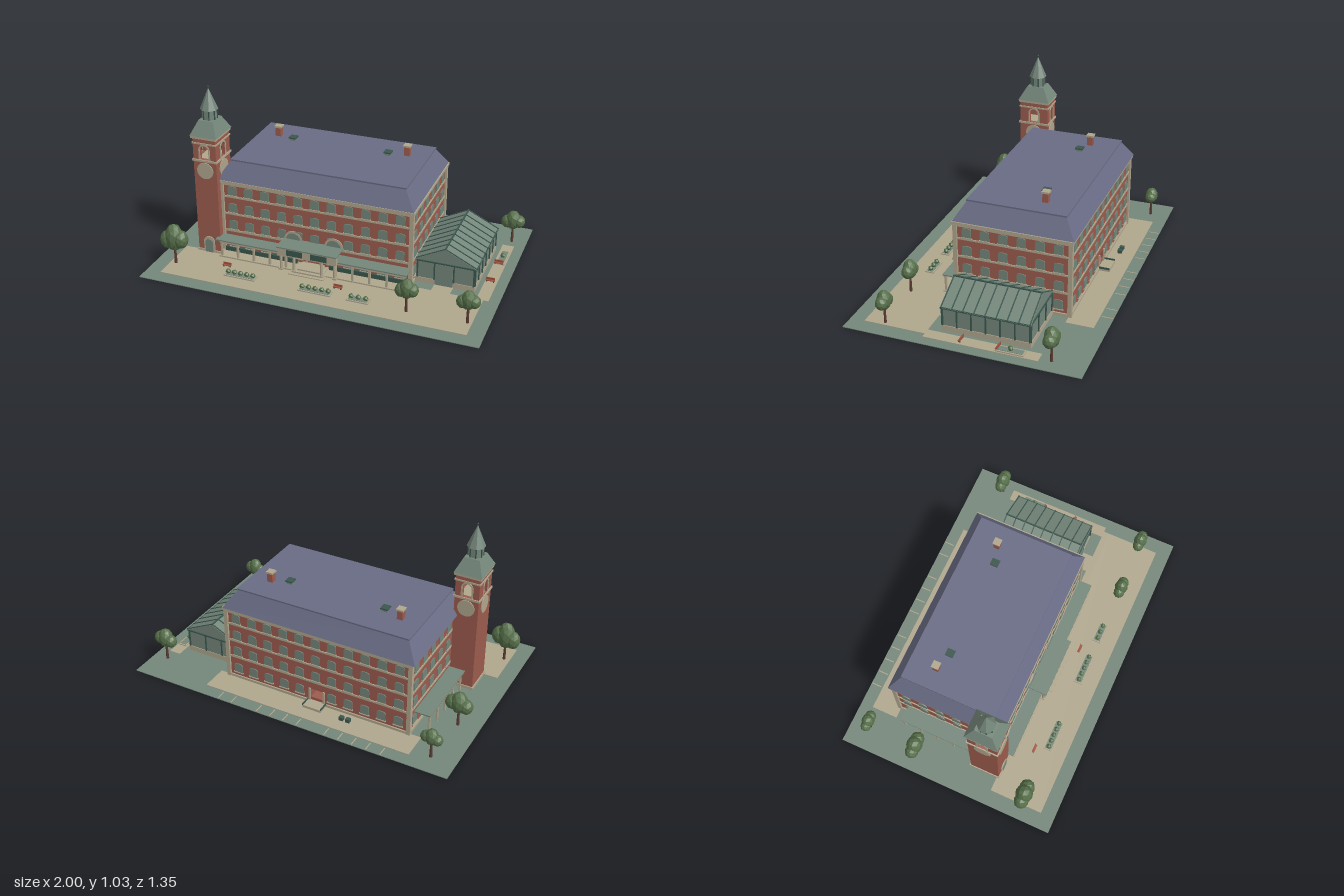
import * as THREE from 'three';

const mat = (name, color, extra = {}) => {
  const m = new THREE.MeshStandardMaterial({ color, ...extra });
  m.name = name;
  return m;
};

export function createModel() {
  const root = new THREE.Group();
  root.name = 'brickHall';
  const flat = { flatShading: true };
  const brick = mat('brick', 0x9c5b4d), stone = mat('stone', 0xb0a68d), slate = mat('slate', 0x686b84, flat);
  const sage = mat('sage', 0x74867a, flat), dark = mat('darkGreen', 0x3b564e), leaf = mat('leaf', 0x566f49, flat);
  const bark = mat('bark', 0x5b3b32), bench = mat('benchRed', 0xa0523f);

  const add = (name, geo, m, x = 0, y = 0, z = 0, parent = root) => {
    const mesh = new THREE.Mesh(geo, m);
    mesh.name = name;
    mesh.position.set(x, y, z);
    parent.add(mesh);
    return mesh;
  };
  // box given by its limits on each axis
  const box = (name, m, x0, x1, y0, y1, z0, z1, parent) =>
    add(name, new THREE.BoxGeometry(x1 - x0, y1 - y0, z1 - z0), m, (x0 + x1) / 2, (y0 + y1) / 2, (z0 + z1) / 2, parent);
  // box whose top is resized to w1 x d1
  const frustum = (w0, d0, w1, d1, h) => {
    const g = new THREE.BoxGeometry(w0, h, d0).toNonIndexed(), p = g.attributes.position;
    for (let i = 0; i < p.count; i++) {
      if (p.getY(i) > 0) p.setXYZ(i, p.getX(i) * w1 / w0, h / 2, p.getZ(i) * d1 / d0);
    }
    g.computeVertexNormals();
    return g.translate(0, h / 2, 0);
  };
  // opening with an elliptical head; base centred on the origin
  const archPath = (w, h, rise, Type = THREE.Shape, y = 0) => {
    const s = new Type();
    s.moveTo(-w / 2, y);
    s.lineTo(w / 2, y);
    s.lineTo(w / 2, y + h - rise);
    s.absellipse(0, y + h - rise, w / 2, rise, 0, Math.PI, false);
    s.lineTo(-w / 2, y);
    return s;
  };
  const extrude = (s, depth) => new THREE.ExtrudeGeometry(s, { depth, bevelEnabled: false, curveSegments: 10 });
  const group = (name, x, y, z, ry = 0) => {
    const g = new THREE.Group();
    g.name = name;
    g.position.set(x, y, z);
    g.rotation.y = ry;
    root.add(g);
    return g;
  };

  // ground and paving
  box('lawn', sage, -1, 1, 0, 0.004, -0.675, 0.675);
  [[-0.91, 0.91, 0.265, 0.59], [0.49, 0.91, 0.23, 0.266], [0.61, 0.72, 0.155, 0.231], [0.87, 0.94, -0.42, 0.23],
    [-0.745, 0.55, -0.6, -0.44]].forEach(([a, b, c, d]) => box('paving', stone, a, b, 0.003, 0.007, c, d));
  [-0.61, -0.523, -0.437, -0.352, -0.266, -0.09, -0.005, 0.08, 0.167, 0.337, 0.423].forEach(x =>
    box('parkingLine', stone, x - 0.003, x + 0.003, 0.003, 0.006, -0.67, -0.61));

  // main block, with a passage from front door to back door
  const X0 = -0.672, X1 = 0.487, Z0 = -0.445, Z1 = 0.225, CX = (X0 + X1) / 2, CZ = (Z0 + Z1) / 2;
  const body = new THREE.Shape([[X0, 0], [X1, 0], [X1, 0.47], [X0, 0.47]].map(p => new THREE.Vector2(...p)));
  body.holes.push(new THREE.Path([[-0.14, 0.04], [-0.14, 0.095], [-0.06, 0.095], [-0.06, 0.04]].map(p => new THREE.Vector2(...p))));
  add('mainWalls', extrude(body, Z1 - Z0), brick, 0, 0, Z0);
  [[0.144, 0.155, 0.006], [0.256, 0.266, 0.006], [0.368, 0.378, 0.006], [0.448, 0.464, 0.008], [0.464, 0.478, 0.018], [0, 0.022, 0.008]]
    .forEach(([y0, y1, o]) => box('stoneBand', stone, X0 - o, X1 + o, y0, y1, Z0 - o, Z1 + o));
  for (const x of [X0, X1]) for (const z of [Z0, Z1])
    box('cornerPier', stone, x - 0.012, x + 0.012, 0, 0.46, z - 0.012, z + 0.012);

  // windows
  const paneGeo = extrude(archPath(0.054, 0.058, 0.01), 0.005);
  const rows = [0.045, 0.162, 0.273, 0.384];
  const facade = (name, n, step, x, z, ry, skip) => {
    const g = group(name, x, 0, z, ry);
    rows.forEach((y, r) => {
      for (let i = 0; i < n; i++) {
        if (skip(r, i)) continue;
        const u = (i - (n - 1) / 2) * step;
        add('window', paneGeo, sage, u, y, 0, g);
        box('windowSill', stone, u - 0.031, u + 0.031, y - 0.005, y, 0, 0.009, g);
      }
    });
  };
  const mid = (r, i) => r === 0 && i === 5;
  facade('frontWindows', 11, 0.103, CX, Z1, 0, mid);
  facade('backWindows', 11, 0.103, CX, Z0, Math.PI, mid);
  facade('rightWindows', 6, 0.107, X1, CZ, Math.PI / 2, () => false);
  facade('leftWindows', 6, 0.107, X0, CZ, -Math.PI / 2, (r, i) => i === 5);

  // hipped roof with flat top
  add('mainRoof', frustum(1.2, 0.705, 1.06, 0.57, 0.108), slate, -0.1, 0.476, -0.112);
  box('roofTop', slate, -0.635, 0.435, 0.582, 0.591, -0.402, 0.178);
  for (const x of [-0.508, 0.307]) {
    box('chimney', brick, x - 0.017, x + 0.017, 0.585, 0.645, -0.257, -0.223);
    box('chimneyCap', stone, x - 0.022, x + 0.022, 0.645, 0.656, -0.262, -0.218);
  }
  for (const x of [-0.4, 0.2]) {
    box('vent', sage, x - 0.016, x + 0.016, 0.585, 0.604, -0.225, -0.188);
    box('ventCap', dark, x - 0.022, x + 0.022, 0.604, 0.612, -0.23, -0.183);
  }

  // front arcade
  box('arcadeFloor', stone, -0.67, 0.487, 0, 0.015, 0.225, 0.31);
  box('arcadeRoof', sage, -0.69, 0.49, 0.113, 0.12, 0.225, 0.312);
  box('arcadeBeam', stone, -0.665, 0.485, 0.1, 0.113, 0.29, 0.306);
  for (let i = 0; i < 12; i++) {
    const x = -0.655 + i * 0.1025;
    if (x > -0.18 && x < -0.02) continue;
    box('arcadePost', stone, x - 0.006, x + 0.006, 0.01, 0.105, 0.292, 0.304);
  }
  for (const [a, b] of [[-0.66, -0.2], [0, 0.48]]) box('arcadeHedge', dark, a, b, 0.015, 0.042, 0.226, 0.24);

  // central portico and steps
  box('porticoRoof', sage, -0.285, 0.085, 0.162, 0.169, 0.225, 0.345);
  box('porticoFrieze', stone, -0.28, 0.08, 0.112, 0.162, 0.315, 0.338);
  for (const s of [-1, 1]) {
    box('friezePanel', dark, -0.1 + s * 0.075 - 0.05, -0.1 + s * 0.075 + 0.05, 0.12, 0.156, 0.337, 0.341);
    for (const u of [0.085, 0.165]) {
      const x = -0.1 + s * u;
      add('porticoColumn', new THREE.CylinderGeometry(0.008, 0.009, 0.1, 10), stone, x, 0.065, 0.32);
      box('columnBase', stone, x - 0.012, x + 0.012, 0.012, 0.022, 0.308, 0.332);
    }
    const x = -0.1 + s * 0.125;
    add('archSurround', extrude(archPath(0.11, 0.065, 0.05), 0.006), stone, x, 0.155, Z1);
    add('archWindow', extrude(archPath(0.088, 0.053, 0.042), 0.009), sage, x, 0.155, Z1);
    for (const z of [Z0 - 0.004, Z1 + 0.004])
      box('doorJamb', stone, -0.1 + s * 0.045 - 0.006, -0.1 + s * 0.045 + 0.006, 0.02, 0.1, z - 0.004, z + 0.004);
  }
  for (let i = 0; i < 3; i++) {
    box('frontStep', stone, -0.21 + i * 0.02, 0.01 - i * 0.02, 0, 0.012 + i * 0.009, 0.225, 0.355 - i * 0.02);
  }
  box('backStep', stone, -0.16, -0.045, 0, 0.022, -0.515, -0.44);
  for (const x of [-0.16, -0.045]) box('stepRail', dark, x - 0.002, x + 0.002, 0.02, 0.032, -0.515, -0.45);

  // canopy on the left side
  box('sideCanopy', sage, -0.77, X0, 0.113, 0.12, -0.383, 0.094);
  box('sideCanopyBeam', stone, -0.765, -0.752, 0.1, 0.113, -0.378, 0.094);
  for (let i = 0; i < 5; i++) {
    const z = -0.37 + i * 0.107;
    box('sideCanopyPost', stone, -0.764, -0.753, 0, 0.105, z - 0.006, z + 0.006);
  }

  // clock tower
  const TX = -0.748, TZ = 0.185, HW = 0.072, HD = 0.09;
  const ring = (name, m, y0, y1, o) => box(name, m, TX - HW - o, TX + HW + o, y0, y1, TZ - HD - o, TZ + HD + o);
  ring('towerShaft', brick, 0, 0.6, 0);
  ring('towerBase', stone, 0, 0.02, 0.006);
  ring('towerBand', stone, 0.596, 0.608, 0.007);
  ring('belfryTop', brick, 0.71, 0.738, 0);
  ring('belfryBand', stone, 0.704, 0.713, 0.005);
  ring('towerCornice', stone, 0.738, 0.753, 0.008);
  for (let k = 0; k < 4; k++) {
    const side = k % 2, w = side ? HD * 2 : HW * 2, off = side ? HW : HD;
    const g = group('towerFace', TX, 0, TZ, k * Math.PI / 2);
    const wall = new THREE.Shape([[-w / 2, 0], [w / 2, 0], [w / 2, 0.106], [-w / 2, 0.106]].map(p => new THREE.Vector2(...p)));
    wall.holes.push(archPath(0.054, 0.09, 0.027, THREE.Path, 0.003));
    add('belfryWall', extrude(wall, 0.02), brick, 0, 0.606, off - 0.02, g);
    const trim = archPath(0.072, 0.099, 0.036);
    trim.holes.push(archPath(0.054, 0.088, 0.027, THREE.Path, 0.002));
    add('belfryTrim', extrude(trim, 0.004), stone, 0, 0.606, off, g);
    const dial = add('clockFace', new THREE.CylinderGeometry(0.051, 0.051, 0.006, 24), stone, 0, 0.54, off + 0.002, g);
    dial.rotation.x = Math.PI / 2;
  }
  add('towerDoorFrame', extrude(archPath(0.07, 0.105, 0.033), 0.006), stone, TX, 0.005, TZ + HD);
  add('towerDoor', extrude(archPath(0.048, 0.088, 0.022), 0.009), sage, TX, 0.005, TZ + HD);
  add('towerRoof', frustum(0.168, 0.2, 0.092, 0.106, 0.084), sage, TX, 0.752, TZ);
  add('lantern', new THREE.CylinderGeometry(0.042, 0.044, 0.062, 8), sage, TX, 0.865, TZ).rotation.y = Math.PI / 8;
  for (let i = 0; i < 8; i++) {
    const a = i * Math.PI / 4 + Math.PI / 8;
    add('lanternPost', new THREE.BoxGeometry(0.006, 0.062, 0.006), dark, TX + Math.sin(a) * 0.043, 0.865, TZ + Math.cos(a) * 0.043);
  }
  add('spire', new THREE.CylinderGeometry(0.001, 0.053, 0.125, 8), sage, TX, 0.956, TZ).rotation.y = Math.PI / 8;
  add('finialRod', new THREE.CylinderGeometry(0.002, 0.002, 0.03, 6), dark, TX, 1.018, TZ);
  add('finialBall', new THREE.SphereGeometry(0.005, 8, 6), dark, TX, 1.028, TZ);

  // glasshouse
  const gx0 = 0.5, gx1 = 0.84, gz0 = -0.345, gz1 = 0.158, gm = 0.665;
  box('glasshousePlinth', stone, X1, gx1 + 0.004, 0, 0.036, gz0 - 0.004, gz1 + 0.004);
  const gable = new THREE.Shape([[gx0, 0.03], [gx1, 0.03], [gx1, 0.15], [gm, 0.235], [gx0, 0.15]].map(p => new THREE.Vector2(...p)));
  add('glasshouseGlass', extrude(gable, gz1 - gz0), sage, 0, 0, gz0);
  for (const s of [-1, 1]) {
    const run = s < 0 ? gm - 0.485 : 0.853 - gm, len = Math.hypot(run, 0.092);
    const slope = group('glasshouseRoof', gm, 0.241, 0);
    slope.rotation.z = -s * Math.atan2(0.092, run);
    box('roofGlass', sage, s < 0 ? -len : 0, s < 0 ? 0 : len, -0.006, 0, gz0 - 0.006, gz1 + 0.006, slope);
    for (let i = 0; i < 9; i++) {
      const z = gz0 + i * (gz1 - gz0) / 8;
      box('roofRib', dark, s < 0 ? -len : 0, s < 0 ? 0 : len, -0.004, 0.004, z - 0.003, z + 0.003, slope);
    }
  }
  box('ridgeBar', dark, gm - 0.004, gm + 0.004, 0.236, 0.246, gz0 - 0.006, gz1 + 0.006);
  box('eavesBar', dark, gx1 - 0.002, gx1 + 0.012, 0.142, 0.152, gz0 - 0.006, gz1 + 0.006);
  for (let i = 0; i < 7; i++) {
    const z = gz0 + 0.004 + i * (gz1 - gz0 - 0.008) / 6;
    box('sideMullion', dark, gx1 - 0.002, gx1 + 0.006, 0.036, 0.146, z - 0.004, z + 0.004);
  }
  for (const z of [gz0, gz1]) {
    for (const x of [0.507, 0.607, 0.72, 0.836]) box('endMullion', dark, x - 0.004, x + 0.004, 0.036, 0.148, z - 0.006, z + 0.006);
    box('endRail', dark, gx0, gx1, 0.142, 0.15, z - 0.006, z + 0.006);
  }
  box('glasshouseDoor', sage, 0.612, 0.715, 0.005, 0.142, gz1, gz1 + 0.007);

  // planters, benches and bins
  const planter = (x0, x1, z0, z1, n) => {
    box('planter', stone, x0, x1, 0.004, 0.014, z0, z1);
    box('planterSoil', sage, x0 + 0.008, x1 - 0.008, 0.01, 0.016, z0 + 0.008, z1 - 0.008);
    for (let i = 0; i < n; i++) {
      add('shrub', new THREE.IcosahedronGeometry(0.016, 0), leaf, x0 + (x1 - x0) * (i + 0.5) / n, 0.027, (z0 + z1) / 2);
    }
  };
  planter(-0.55, -0.358, 0.445, 0.5, 5);
  planter(-0.092, 0.105, 0.445, 0.5, 5);
  planter(0.2, 0.328, 0.445, 0.5, 3);
  planter(0.88, 0.934, -0.338, -0.18, 1);
  for (const [x, z] of [[-0.575, 0.4], [0.115, 0.4], [0.9, -0.185], [0.9, 0.025]]) {
    box('benchSeat', bench, x - 0.026, x + 0.026, 0.014, 0.019, z - 0.007, z + 0.007);
    box('benchBack', bench, x - 0.026, x + 0.026, 0.019, 0.032, z - 0.007, z - 0.004);
    for (const s of [-1, 1]) box('benchLeg', dark, x + s * 0.02 - 0.003, x + s * 0.02 + 0.003, 0.004, 0.015, z - 0.006, z + 0.006);
  }
  for (const x of [-0.332, -0.291]) box('bin', dark, x - 0.013, x + 0.013, 0.005, 0.028, -0.522, -0.497);

  // trees: three low-poly crowns, widest across x
  const tree = (x, z, top, w) => {
    const h = top - 0.09, cy = 0.09 + h / 2;
    add('trunk', new THREE.CylinderGeometry(0.006, 0.009, 0.12, 6), bark, x, 0.06, z);
    [[0, 0.5, 0.6, 0.6], [-0.48, -0.12, 0.52, 0.5], [0.46, -0.04, 0.54, 0.52]].forEach(([dx, dy, rx, rz], i) => {
      const c = add('crown', new THREE.IcosahedronGeometry(1, 1), leaf, x + dx * w, cy + (i ? dy * h : 0), z);
      c.scale.set(rx * w, h * (i ? 0.33 : 0.5), rz * w);
    });
  };
  [[-0.875, 0.465, 0.265, 0.088], [0.545, 0.485, 0.213, 0.068], [0.885, 0.475, 0.208, 0.068], [0.91, -0.485, 0.213, 0.073],
    [-0.875, -0.24, 0.225, 0.082], [-0.855, -0.557, 0.19, 0.065]].forEach(t => tree(...t));

  return root;
}
